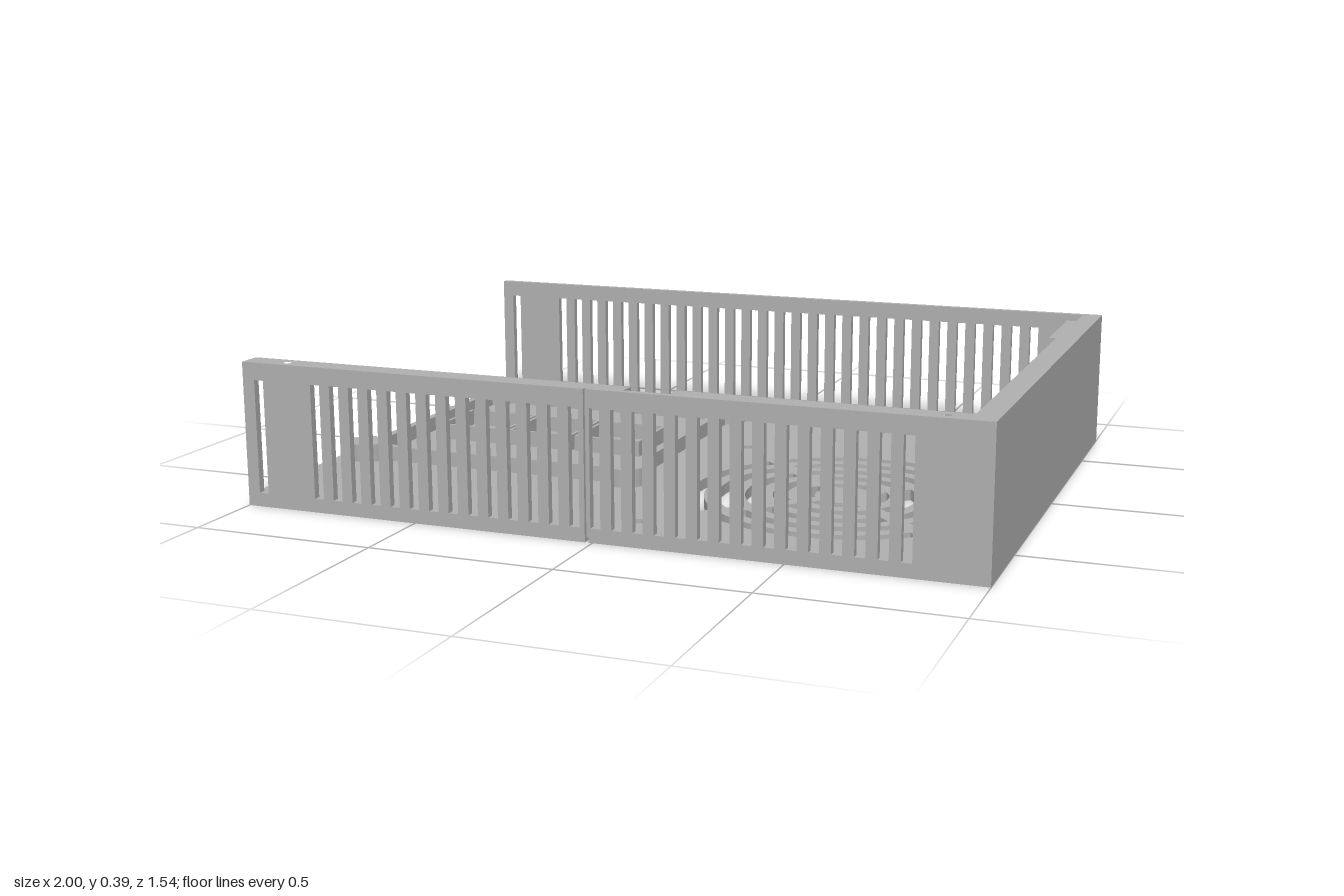
import * as THREE from 'three';

const W = 1, D = 0.77, H = 0.39, T = 0.02, FLOOR = 0.03, SEAM = -0.015;

export function createModel() {
  const root = new THREE.Group();
  root.name = 'ventilatedTray';
  const grey = new THREE.MeshStandardMaterial({ color: 0xb0b0b0 });
  grey.name = 'plainGrey';

  const add = (name, geo, parent = root) => {
    const mesh = new THREE.Mesh(geo, grey);
    mesh.name = name;
    parent.add(mesh);
    return mesh;
  };
  const box = (name, x0, x1, y0, y1, z0, z1, parent) =>
    add(name, new THREE.BoxGeometry(x1 - x0, y1 - y0, z1 - z0)
      .translate((x0 + x1) / 2, (y0 + y1) / 2, (z0 + z1) / 2), parent);
  const polygon = (pts) => new THREE.Shape(pts.map(([x, y]) => new THREE.Vector2(x, y)));
  const rect = (x0, x1, y0, y1) => polygon([[x0, y0], [x1, y0], [x1, y1], [x0, y1]]);

  // Horizontal plate from an outline in (x, z), between two heights
  const slab = (name, pts, holes, y0, y1) => {
    const shape = polygon(pts.map(([x, z]) => [x, -z]));
    shape.holes = holes;
    const geo = new THREE.ExtrudeGeometry(shape, { depth: y1 - y0, bevelEnabled: false, curveSegments: 14 });
    return add(name, geo.rotateX(-Math.PI / 2).translate(0, y0, 0));
  };
  // Upright plate facing z
  const upright = (name, x0, x1, y0, y1, z0, z1, holes) => {
    const shape = rect(x0, x1, y0, y1);
    shape.holes = holes;
    return add(name, new THREE.ExtrudeGeometry(shape, { depth: z1 - z0, bevelEnabled: false }).translate(0, 0, z0));
  };
  const round = (x, z, r) => new THREE.Path().absarc(x, -z, r, 0, Math.PI * 2, true);

  // Fan grille: five rings, each cut into four by diagonal spokes
  const fanHoles = () => {
    const holes = [], cx = 0.49, cz = 0.22, spoke = 0.02;
    for (let i = 0; i < 5; i++) {
      const r0 = 0.08 + i * 0.0738, r1 = r0 + 0.038;
      const a0 = Math.PI / 4 - Math.asin(spoke / r0), a1 = Math.PI / 4 - Math.asin(spoke / r1);
      for (let q = 0; q < 4; q++) {
        const m = q * Math.PI / 2;
        const path = new THREE.Path();
        path.absarc(cx, -cz, r1, m - a1, m + a1, false);
        path.absarc(cx, -cz, r0, m + a0, m - a0, true);
        path.closePath();
        holes.push(path);
      }
    }
    return holes;
  };

  const posts = [];
  for (const x of [-0.91, -0.105]) for (const z of [-0.505, 0.305]) posts.push([x, z]);
  const rightHoles = () => [
    ...fanHoles(),
    ...[[0.07, -0.2], [0.91, -0.2], [0.07, 0.645], [0.91, 0.645]].map(([x, z]) => round(x, z, 0.02)),
    round(0.97, -0.59, 0.011), round(0.88, 0.74, 0.01),
  ];
  const leftHoles = () => [round(-0.88, 0.74, 0.01)];

  // Open edge with dovetail notches
  const openEdge = [[-W, -D]];
  for (const z of [0.15, 0.52]) {
    openEdge.push([-W, z - 0.032], [-W + 0.038, z - 0.047], [-W + 0.038, z + 0.047], [-W, z + 0.032]);
  }
  openEdge.push([-W, D]);
  const s0 = SEAM - 0.005, s1 = SEAM + 0.005;
  const seamNotch = [[s0, D], [s0, D - 0.01], [s1, D - 0.01], [s1, D]];

  // Floor: the underside is split by a narrow seam
  slab('floorTop', [...openEdge, ...seamNotch, [W, D], [W, -D]], [...leftHoles(), ...rightHoles()], 0.01, FLOOR);
  slab('floorBottomRight', [...openEdge, [s0, D], [s0, -D]],
    [...leftHoles(), ...posts.map(([x, z]) => round(x, z, 0.02))], 0, 0.01);
  slab('floorBottomLeft', [[s1, -D], [s1, D], [W, D], [W, -D]], rightHoles(), 0, 0.01);

  // Slotted front and back walls
  const slots = (x0, x1) => {
    const xs = [-0.952];
    for (let i = 0; i < 29; i++) xs.push(-0.782 + i * 0.0565);
    return xs.filter((x) => x > x0 && x < x1).map((x) => rect(x - 0.0135, x + 0.0135, 0.037, 0.343));
  };
  upright('backWall', -W, W - T, FLOOR, H, -D, -D + T, slots(-W, W));
  upright('frontWallInner', -W, W - T, FLOOR, 0.35, D - T, D - 0.01, slots(-W, W));
  upright('frontWallOuterRight', -W, s0, FLOOR, 0.35, D - 0.01, D, slots(-W, s0));
  upright('frontWallOuterLeft', s1, W - T, FLOOR, 0.35, D - 0.01, D, slots(s1, W));

  // Solid side wall
  box('sideWall', W - T, W, FLOOR, 0.35, -D, D);

  // Stepped rim: a lower ledge with a narrower rim above, notched at the front
  const rim = (name, inX, inZ, y0, y1) => slab(name, [
    [-W, inZ], [0.08, inZ], [0.08, D - T], [0.2, D - T], [0.2, inZ], [inX, inZ],
    [inX, -D], [W, -D], [W, D], ...seamNotch.slice().reverse(), [-W, D],
  ], [round(0.97, -0.59, 0.011), round(0.88, 0.74, 0.01), round(-0.88, 0.74, 0.01)], y0, y1);
  rim('rimLedge', 0.92, 0.68, 0.35, 0.37);
  rim('rimTop', 0.945, 0.705, 0.37, H);
  box('rimCornerLedge', 0.9, 0.93, 0.345, 0.37, -D + T, -0.44);
  box('rimNotchTab', 0.08, 0.2, 0.35, 0.362, 0.68, D - T);

  // Mounting frame: four posts joined by low bars
  const frame = new THREE.Group();
  frame.name = 'mountingFrame';
  root.add(frame);
  for (const [x, z] of posts) {
    add('post', new THREE.CylinderGeometry(0.055, 0.055, 0.05, 40).translate(x, FLOOR + 0.025, z), frame);
  }
  for (const z of [-0.505, 0.305]) box('longBar', -0.87, -0.145, FLOOR, 0.072, z - 0.011, z + 0.011, frame);
  for (const x of [-0.91, -0.105]) box('crossBar', x - 0.011, x + 0.011, FLOOR, 0.072, -0.465, 0.265, frame);

  // Three small open compartments
  for (const [x0, x1] of [[-0.835, -0.612], [-0.605, -0.4], [-0.39, -0.185]]) {
    const outline = [[x0, -0.19], [x1, -0.19], [x1, -0.018 + 0.04], [x0, -0.018 + 0.04]]
      .map(([x, z]) => [x, z]);
    const t = 0.01;
    const hole = rect(x0 + t, x1 - t, -(0.022 - t), 0.19 - t);
    slab('compartment', outline, [hole], FLOOR, 0.075);
  }
  return root;
}
